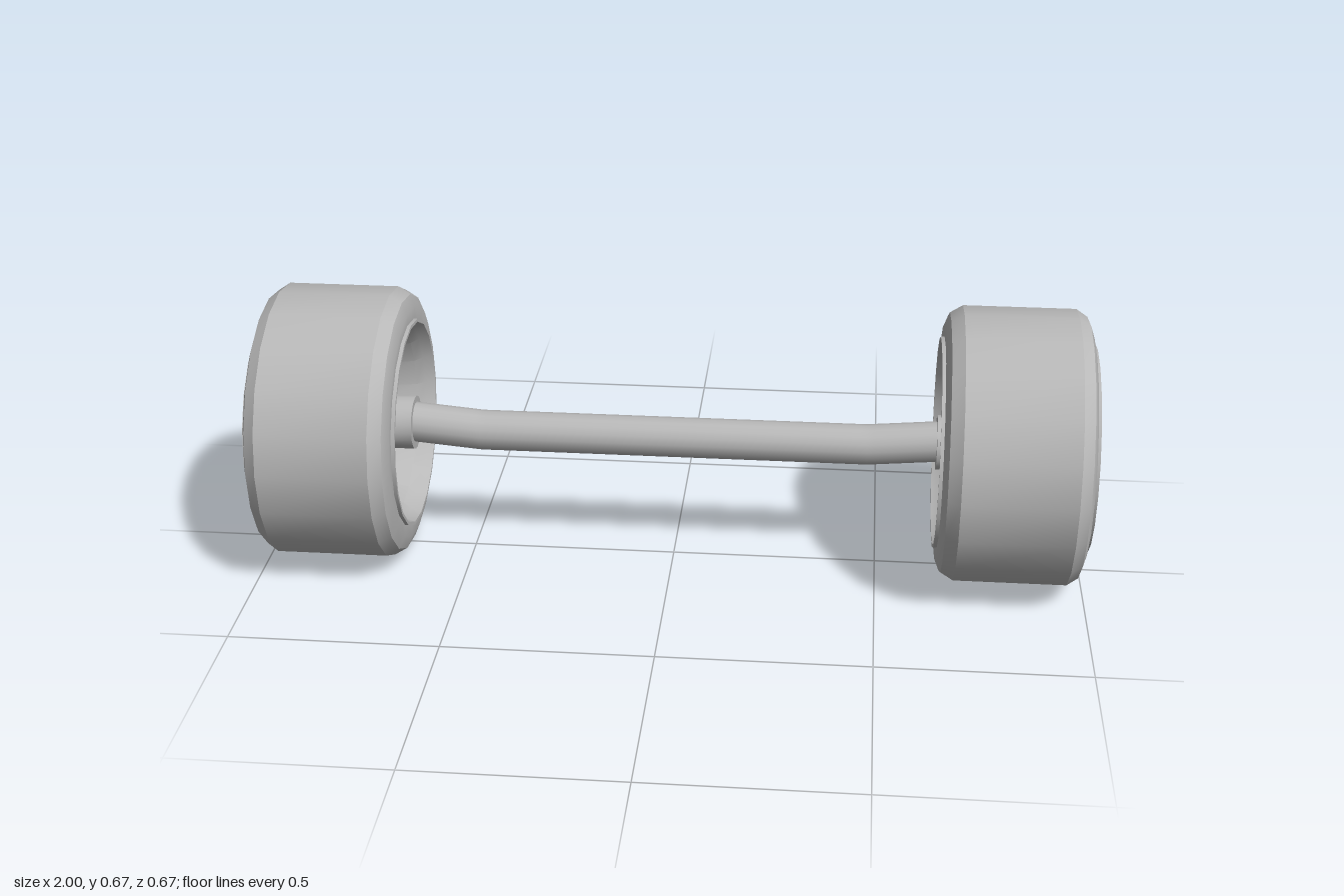
import * as THREE from 'three';
import { toCreasedNormals } from 'three/addons/utils/BufferGeometryUtils.js';

const WHEEL_Y = 0.335;

export function createModel() {
  const model = new THREE.Group();
  model.name = 'wheelAxle';
  const grey = new THREE.MeshStandardMaterial({ color: 0xb8b8b8 });
  grey.name = 'plain grey';

  const add = (parent, name, geometry) => {
    const mesh = new THREE.Mesh(geometry, grey);
    mesh.name = name;
    parent.add(mesh);
    return mesh;
  };
  // Revolve [radius, x] pairs about the x axis
  const turned = (profile, sides, phase = 0) => {
    const points = profile.map(([r, x]) => new THREE.Vector2(r, x));
    const g = new THREE.LatheGeometry(points, sides, phase);
    g.rotateZ(-Math.PI / 2);
    return toCreasedNormals(g, 0.5);
  };
  // Solid disc or cylinder along x
  const disc = (r, x0, x1, sides, phase = 0) =>
    turned([[0, x0], [r, x0], [r, x1], [0, x1]], sides, phase);

  // Spoke: raised trapezoid section, leaning back towards the rim
  const spokeGeometry = () => {
    const g = new THREE.BoxGeometry(1, 1, 1);
    const p = g.attributes.position;
    for (let i = 0; i < p.count; i++) {
      const outer = p.getY(i) > 0;
      const face = p.getX(i) > 0;
      const halfWidth = (face ? 0.014 : 0.026) + (outer ? 0.003 : 0);
      const x = (outer ? 0.9 : 0.922) - (face ? 0 : 0.045);
      p.setXYZ(i, x, outer ? 0.204 : 0.05, Math.sign(p.getZ(i)) * halfWidth);
    }
    return toCreasedNormals(g, 0.3);
  };

  const makeWheel = (name) => {
    const wheel = new THREE.Group();
    wheel.name = name;
    wheel.position.y = WHEEL_Y;

    add(wheel, 'tyre', turned([
      [0.25, 0.645], [0.285, 0.643], [0.315, 0.655], [0.333, 0.685],
      [0.333, 0.953], [0.315, 0.98], [0.285, 0.99], [0.25, 0.988],
    ], 20));

    // Rim: lips on both sides and an open barrel
    add(wheel, 'rim', turned([
      [0.248, 0.636], [0.256, 0.636], [0.256, 1], [0.249, 1],
      [0.246, 0.98], [0.232, 0.972], [0.2, 0.9], [0.2, 0.82],
      [0.225, 0.68], [0.24, 0.66], [0.248, 0.636],
    ], 20));

    for (let i = 0; i < 8; i++) {
      add(wheel, 'spoke', spokeGeometry()).rotation.x = i * Math.PI / 4;
    }

    // Hub with wheel nuts and a domed cap
    add(wheel, 'hub', disc(0.08, 0.87, 0.925, 16, Math.PI / 16));
    for (let i = 0; i < 5; i++) {
      const a = i * Math.PI * 2 / 5;
      const nut = add(wheel, 'wheelNut', disc(0.011, 0.92, 0.936, 10));
      nut.position.set(0, Math.cos(a) * 0.05, Math.sin(a) * 0.05);
    }
    add(wheel, 'hubCap', turned([
      [0.036, 0.92], [0.036, 0.935], [0.032, 0.942], [0.025, 0.942],
      [0.021, 0.95], [0.012, 0.955], [0, 0.957],
    ], 10));

    // Brake disc and inner bearing parts
    add(wheel, 'brakeDisc', disc(0.165, 0.79, 0.815, 12, Math.PI / 12));
    add(wheel, 'hubShaft', disc(0.045, 0.64, 0.88, 16));
    add(wheel, 'axleCollar', disc(0.066, 0.636, 0.7, 20));
    model.add(wheel);
    return wheel;
  };

  makeWheel('leftWheel');
  makeWheel('rightWheel').rotation.y = Math.PI;

  // Axle beam, raised slightly at both ends
  const path = new THREE.CurvePath();
  const stops = [[-0.65, 0.338], [-0.47, 0.322], [0.47, 0.322], [0.65, 0.338]]
    .map(([x, y]) => new THREE.Vector3(x, y, 0));
  for (let i = 0; i < 3; i++) path.add(new THREE.LineCurve3(stops[i], stops[i + 1]));
  add(model, 'axleBeam', new THREE.TubeGeometry(path, 72, 0.049, 16));

  return model;
}
